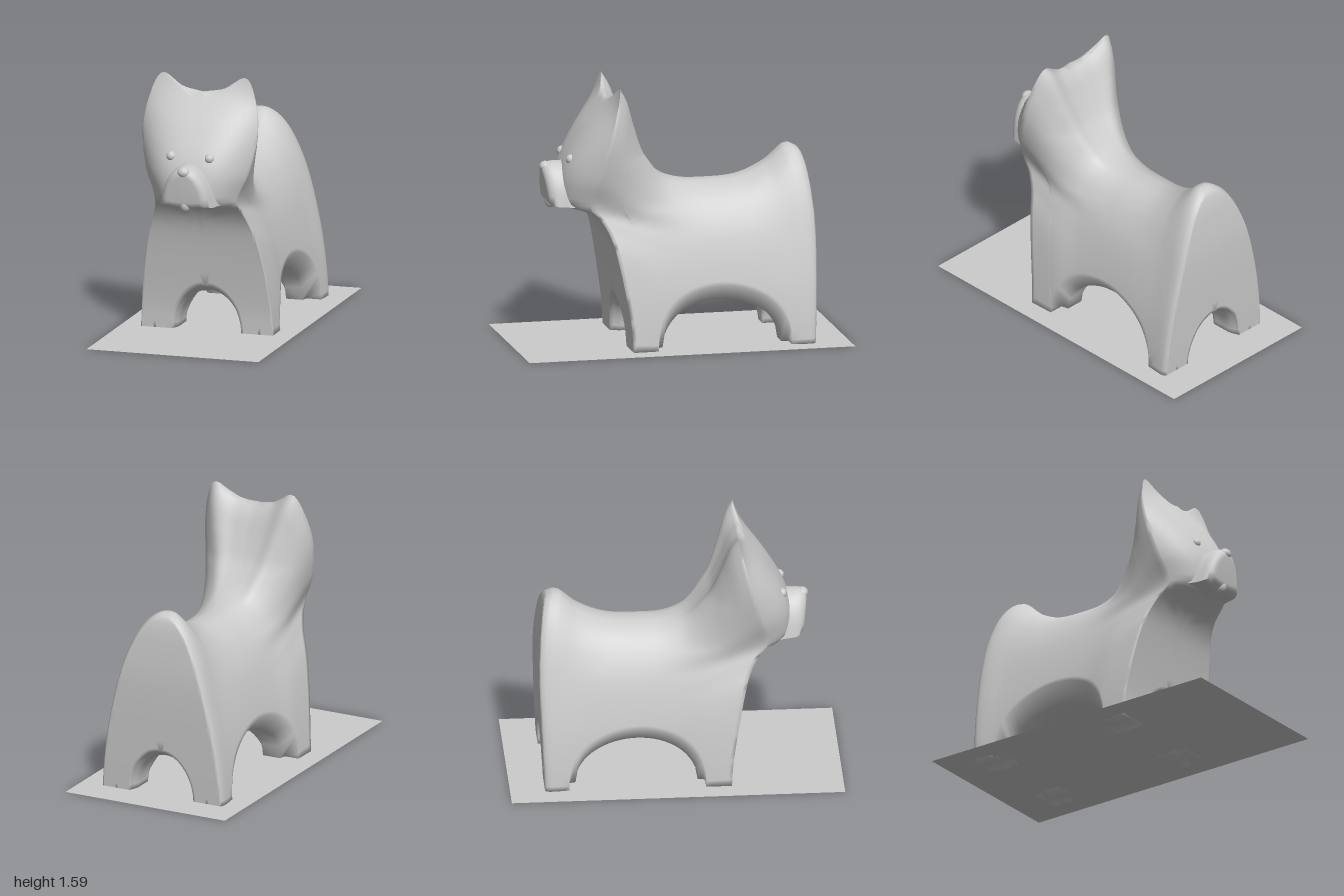
import * as THREE from 'three';
import { mergeGeometries, mergeVertices, toCreasedNormals } from 'three/addons/utils/BufferGeometryUtils.js';

const mix = THREE.MathUtils.lerp;
const V = (x, y, z) => new THREE.Vector3(x, y, z);

// Smooth function through [input, output] keys
function keyed(keys) {
  const slope = (i) => {
    const a = keys[Math.max(0, i - 1)], b = keys[Math.min(keys.length - 1, i + 1)];
    return (b[1] - a[1]) / (b[0] - a[0]);
  };
  return (v) => {
    if (v <= keys[0][0]) return keys[0][1];
    for (let i = 1; i < keys.length; i++) {
      const [x0, y0] = keys[i - 1], [x1, y1] = keys[i];
      if (v > x1) continue;
      const d = x1 - x0, t = (v - x0) / d, t2 = t * t, t3 = t2 * t;
      return y0 * (2 * t3 - 3 * t2 + 1) + y1 * (3 * t2 - 2 * t3)
        + d * (slope(i - 1) * (t3 - 2 * t2 + t) + slope(i) * (t3 - t2));
    }
    return keys[keys.length - 1][1];
  };
}

// Back outline, front outline, face bulge (by height)
const zBack = keyed([[0, -0.79], [0.2, -0.8], [0.7, -0.815], [0.95, -0.8], [1.1, -0.775], [1.16, -0.74]]);
const zFront = keyed([[0, 0.33], [0.15, 0.34], [0.4, 0.38], [0.6, 0.42], [0.7, 0.45], [0.79, 0.5],
  [0.85, 0.55], [0.92, 0.55], [1.15, 0.49], [1.4, 0.425], [1.585, 0.38]]);
const bulge = keyed([[0.79, 0], [0.815, 0.025], [0.845, 0.13], [0.92, 0.165], [1.1, 0.185], [1.3, 0.125], [1.49, 0.025], [1.58, 0]]);
// Ridge height, width scale, upward taper and blend from body to head (by station from tail 0 to face 1)
const ridge = keyed([[0, 1.125], [0.03, 1.15], [0.08, 1.13], [0.18, 1.04], [0.3, 0.975], [0.45, 0.96], [1, 0.96]]);
const widen = keyed([[0, 1.04], [0.012, 1.07], [0.04, 1.08], [0.12, 1.06], [0.35, 1], [0.7, 1], [0.85, 1.06], [1, 1.06]]);
const taper = keyed([[0, 0.22], [0.12, 0.17], [0.35, 0], [1, 0]]);
const headness = keyed([[0, 0], [0.5, 0], [0.59, 0.03], [0.67, 0.11], [0.78, 0.36], [0.87, 0.64], [0.94, 0.87], [1, 1]]);

// Half outlines from foot to centre line
const bodyHalf = [[0.38, 0], [0.38, 0.12], [0.367, 0.3], [0.343, 0.45], [0.308, 0.6], [0.275, 0.7],
  [0.232, 0.79], [0.185, 0.86], [0.138, 0.907], [0.092, 0.937], [0.046, 0.955], [0, 0.96]];
const headHalf = [[0.415, 0], [0.4, 0.2], [0.375, 0.4], [0.337, 0.6], [0.285, 0.75], [0.258, 0.86],
  [0.325, 1.04], [0.362, 1.27], [0.335, 1.45], [0.262, 1.585], [0.13, 1.515], [0, 1.49]];

const M = 52, ARCH = 13;
const dome = (v, r, h) => h * Math.sqrt(Math.max(0, 1 - (v / r) ** 2));
const place = (x, y, s) => V(x, y, mix(zBack(y), zFront(y), s));

// One cross-section half: outer side and vaulted underside
function section(s) {
  const k = headness(s), z0 = -0.79 + 1.12 * s;
  const rise = dome(z0 + 0.235, 0.41, 0.37), inner = dome(z0 + 0.235, 0.365, 0.27);
  const curve = new THREE.CatmullRomCurve3(bodyHalf.map(([x, y], i) => V(
    mix(x * widen(s) * (1 - taper(s) * y / 0.96), headHalf[i][0], k),
    mix(y * ridge(s) / 0.96, headHalf[i][1], k), 0)));
  // start the side where it meets the arch between the legs
  let low = 0, high = rise > 0 ? 0.5 : 0;
  for (let i = 0; i < 24; i++) {
    const t = (low + high) / 2;
    if (curve.getPoint(t).y < rise) low = t; else high = t;
  }
  const outer = [], under = [];
  for (let i = 0; i <= M; i++) {
    const p = curve.getPoint(mix(low, 1, i / M));
    outer.push(place(i === M ? 0 : p.x, p.y, s));
  }
  const e = THREE.MathUtils.smoothstep(Math.min(s, 1 - s), 0, 0.06);
  const r = mix(0.215, 0.195, e), h = mix(0.285, 0.24, e);
  for (let i = 0; i <= ARCH; i++) {
    const a = (i / ARCH) * Math.PI / 2;
    under.push(place(i === ARCH ? 0 : r * Math.cos(a), Math.max(h * Math.sin(a), inner), s));
  }
  return { outer, under, lip: place(outer[0].x - 0.09, inner, s) };
}

// Skin over a grid of points
function skin(rows, flip = false) {
  const n = rows[0].length, index = [];
  for (let r = 0; r < rows.length - 1; r++) for (let c = 0; c < n - 1; c++) {
    const a = r * n + c, b = a + 1, d = a + n, e = d + 1;
    index.push(...(flip ? [a, d, b, b, d, e] : [a, b, d, b, e, d]));
  }
  const g = new THREE.BufferGeometry().setFromPoints(rows.flat());
  g.setIndex(index);
  return g;
}

// Closing surface at the face (s = 1) or the rump (s = 0), one half per side
function endCap(s, side) {
  const { outer, under } = section(s), rows = [], cols = 18;
  const archTop = under[ARCH].y, top = outer[M].y, y1 = outer[ARCH].y;
  outer.forEach((p, i) => {
    const f = i / M, g = Math.min(1, (f - ARCH / M) / 0.2);
    const q = i <= ARCH ? under[i]
      : V(0, Math.min(top - (1 - f) * 0.5, p.y - (y1 - archTop) * (1 - g)), 0);
    const row = [];
    for (let c = 0; c <= cols; c++) {
      const u = (c / cols) ** 1.4, v = place(side * mix(p.x, q.x, u), mix(p.y, q.y, u), s);
      if (s === 1) v.z += bulge(v.y) * (1 - (1 - u) ** 2.8);
      row.push(v);
    }
    rows.push(row);
  });
  return skin(rows, (s === 1) === (side === 1));
}

function smooth(geometry, angle) {
  geometry.deleteAttribute('normal');
  geometry.deleteAttribute('uv');
  return toCreasedNormals(mergeVertices(geometry, 1e-4), angle);
}

function bodyGeometry() {
  const stations = [0, 0.006, 0.015, 0.03, 0.06, 0.09];
  for (let i = 0; i <= 40; i++) stations.push((0.555 - 0.41 * Math.cos(i / 40 * Math.PI)) / 1.12);
  stations.push(0.885, 0.91, 0.935, 0.96, 0.98, 1);
  const rings = stations.map((s) => {
    const { outer, under, lip } = section(s);
    const half = [...under.reverse(), lip, ...outer];
    const mirrored = half.slice(0, -1).reverse().map((p) => V(-p.x, p.y, p.z));
    return [...half, ...mirrored];
  });
  const parts = [skin(rings)];
  for (const s of [0, 1]) for (const side of [-1, 1]) parts.push(endCap(s, side));
  return smooth(mergeGeometries(parts), 1.9);
}

// Domed muzzle with a rounded front, flaring into the cheeks and leaning back towards the chin
function muzzleGeometry() {
  const shape = new THREE.Shape();
  shape.moveTo(-0.105, 0.895);
  shape.bezierCurveTo(-0.09, 0.98, -0.05, 1.05, 0, 1.06);
  shape.bezierCurveTo(0.05, 1.05, 0.09, 0.98, 0.105, 0.895);
  shape.quadraticCurveTo(0, 0.875, -0.105, 0.895);
  const g = new THREE.ExtrudeGeometry(shape, {
    depth: 0.18, steps: 6, bevelSize: 0.05, bevelThickness: 0.07, bevelSegments: 6, curveSegments: 14,
  });
  const p = g.attributes.position;
  for (let i = 0; i < p.count; i++) {
    const z = p.getZ(i) + 0.562;
    p.setX(i, p.getX(i) * (1 + 1.6 * Math.max(0, 0.74 - z)));
    p.setZ(i, z - (1.1 - p.getY(i)) * 0.14);
  }
  return smooth(g, 1.3);
}

export function createModel() {
  const model = new THREE.Group();
  const grey = new THREE.MeshStandardMaterial({ color: 0xcccccc, side: THREE.DoubleSide });
  const add = (name, geometry, x = 0, y = 0, z = 0) => {
    const mesh = new THREE.Mesh(geometry, grey);
    mesh.name = name;
    mesh.position.set(x, y, z);
    model.add(mesh);
    return mesh;
  };

  add('body', bodyGeometry());
  add('muzzle', muzzleGeometry());

  // Facial details
  const ball = new THREE.SphereGeometry(1, 20, 14);
  add('nose', ball, 0, 1.077, 0.78).scale.set(0.04, 0.033, 0.036);
  add('chin', ball, 0, 0.87, 0.748).scale.set(0.034, 0.045, 0.035);
  for (const side of [-1, 1]) {
    add(side > 0 ? 'leftEye' : 'rightEye', ball, side * 0.12, 1.14, 0.65).scale.setScalar(0.03);
  }

  // Ground plate
  add('base', new THREE.PlaneGeometry(1.08, 2).rotateX(-Math.PI / 2));
  return model;
}
